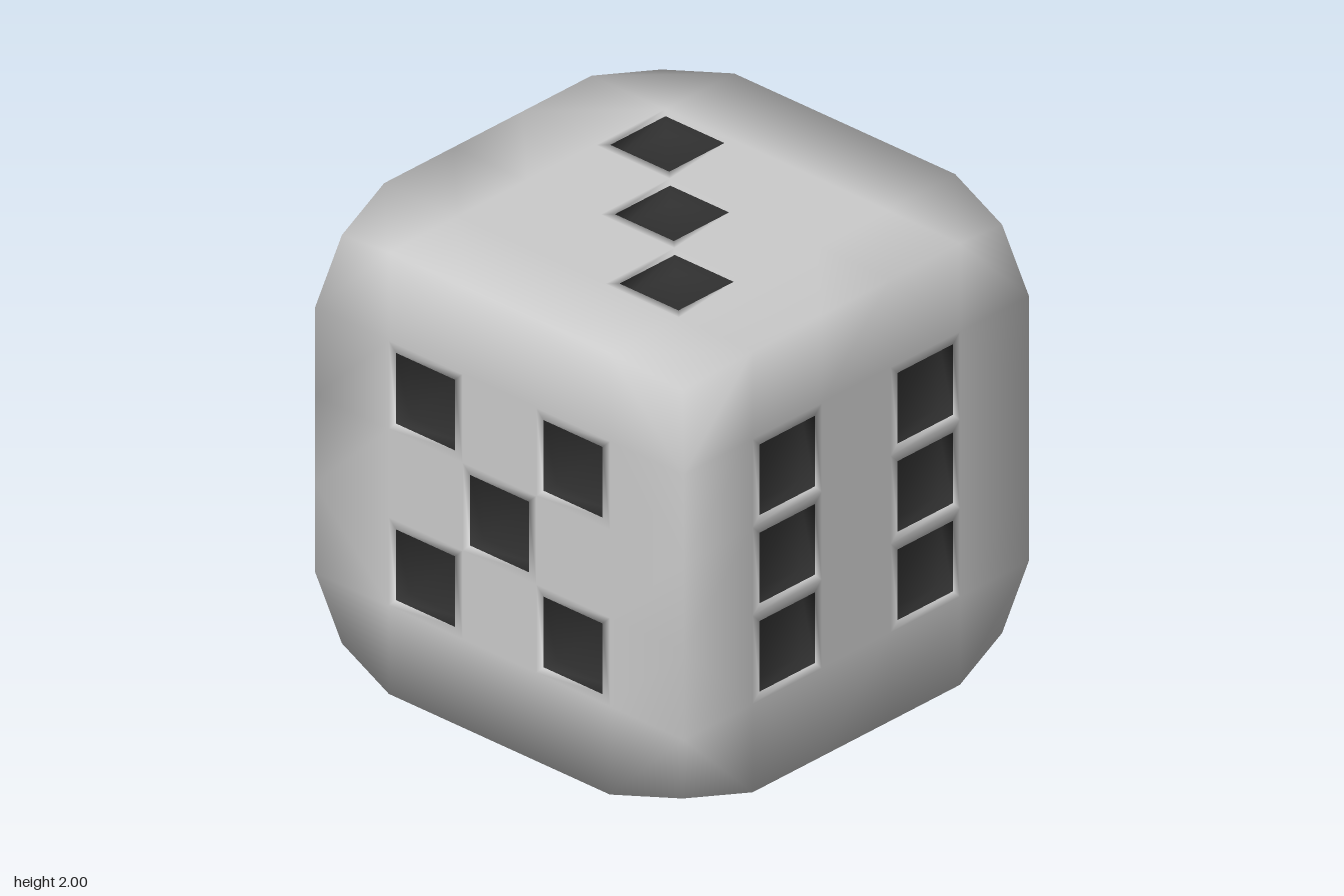
import * as THREE from 'three';
import { mergeVertices } from 'three/addons/utils/BufferGeometryUtils.js';

const CELL = 0.4;      // each face is a 5 x 5 grid of cells
const INSET = 0.04;    // rim around a pip
const DEPTH = 0.08;    // how far a pip is sunk
const CORNER = 0.925;  // pulled-in cube corners

// Each face: right, up and outward axes, with the pip cells as [right, up]
const X = [1, 0, 0], Y = [0, 1, 0], Z = [0, 0, 1];
const neg = (a) => a.map((c) => -c);
const corners = [[-1, -1], [1, -1], [-1, 1], [1, 1]];
const FACES = [
  { u: X, v: Y, n: Z, pips: [...corners, [-1, 0], [1, 0]] },
  { u: neg(X), v: Y, n: neg(Z), pips: [[0, 0]] },
  { u: neg(Z), v: Y, n: X, pips: [[1, 1], [-1, -1]] },
  { u: Z, v: Y, n: neg(X), pips: [...corners, [0, 0]] },
  { u: X, v: neg(Z), n: Y, pips: [[1, 1], [0, 0], [-1, -1]] },
  { u: X, v: Z, n: neg(Y), pips: corners },
];

export function createModel() {
  const bodyPoints = [], pipPoints = [];

  for (const { u, v, n, pips } of FACES) {
    const point = (a, b, depth = 0) => {
      const p = new THREE.Vector3()
        .addScaledVector(new THREE.Vector3(...u), a)
        .addScaledVector(new THREE.Vector3(...v), b)
        .addScaledVector(new THREE.Vector3(...n), 1 - depth);
      const isCorner = Math.abs(a) > 0.99 && Math.abs(b) > 0.99;
      return p.multiplyScalar(isCorner ? CORNER : 1);
    };
    const square = (i, j, half, depth) =>
      [[-1, -1], [1, -1], [1, 1], [-1, 1]].map(([s, t]) =>
        point(i * CELL + s * half, j * CELL + t * half, depth));
    const quad = (list, a, b, c, d, flip = false) =>
      list.push(...(flip ? [a, b, d, b, c, d] : [a, b, c, a, c, d]));

    for (let i = -2; i <= 2; i++) {
      for (let j = -2; j <= 2; j++) {
        const outer = square(i, j, CELL / 2, 0);
        if (!pips.some(([a, b]) => a === i && b === j)) {
          // corner cells fold across the diagonal that cuts off the corner
          quad(bodyPoints, ...outer, i * j > 0);
          continue;
        }
        // rim, sunken walls and floor of a pip
        const rim = square(i, j, CELL / 2 - INSET, 0);
        const floor = square(i, j, CELL / 2 - INSET, DEPTH);
        for (let k = 0; k < 4; k++) {
          const m = (k + 1) % 4;
          quad(bodyPoints, outer[k], outer[m], rim[m], rim[k]);
          quad(pipPoints, rim[k], rim[m], floor[m], floor[k]);
        }
        quad(pipPoints, ...floor);
      }
    }
  }

  // Weld everything so the smooth normals run over edges and pip rims
  const whole = mergeVertices(
    new THREE.BufferGeometry().setFromPoints([...bodyPoints, ...pipPoints]), 1e-4);
  whole.computeVertexNormals();
  const indices = Array.from(whole.index.array);

  const group = new THREE.Group();
  group.name = 'die';
  const addPart = (name, index, color) => {
    const geometry = whole.clone();
    geometry.setIndex(index);
    const mesh = new THREE.Mesh(geometry, new THREE.MeshStandardMaterial({ color }));
    mesh.name = name;
    mesh.position.y = 1;
    group.add(mesh);
  };
  addPart('body', indices.slice(0, bodyPoints.length), 0xcccccc);
  addPart('pips', indices.slice(bodyPoints.length), 0x303030);
  return group;
}
